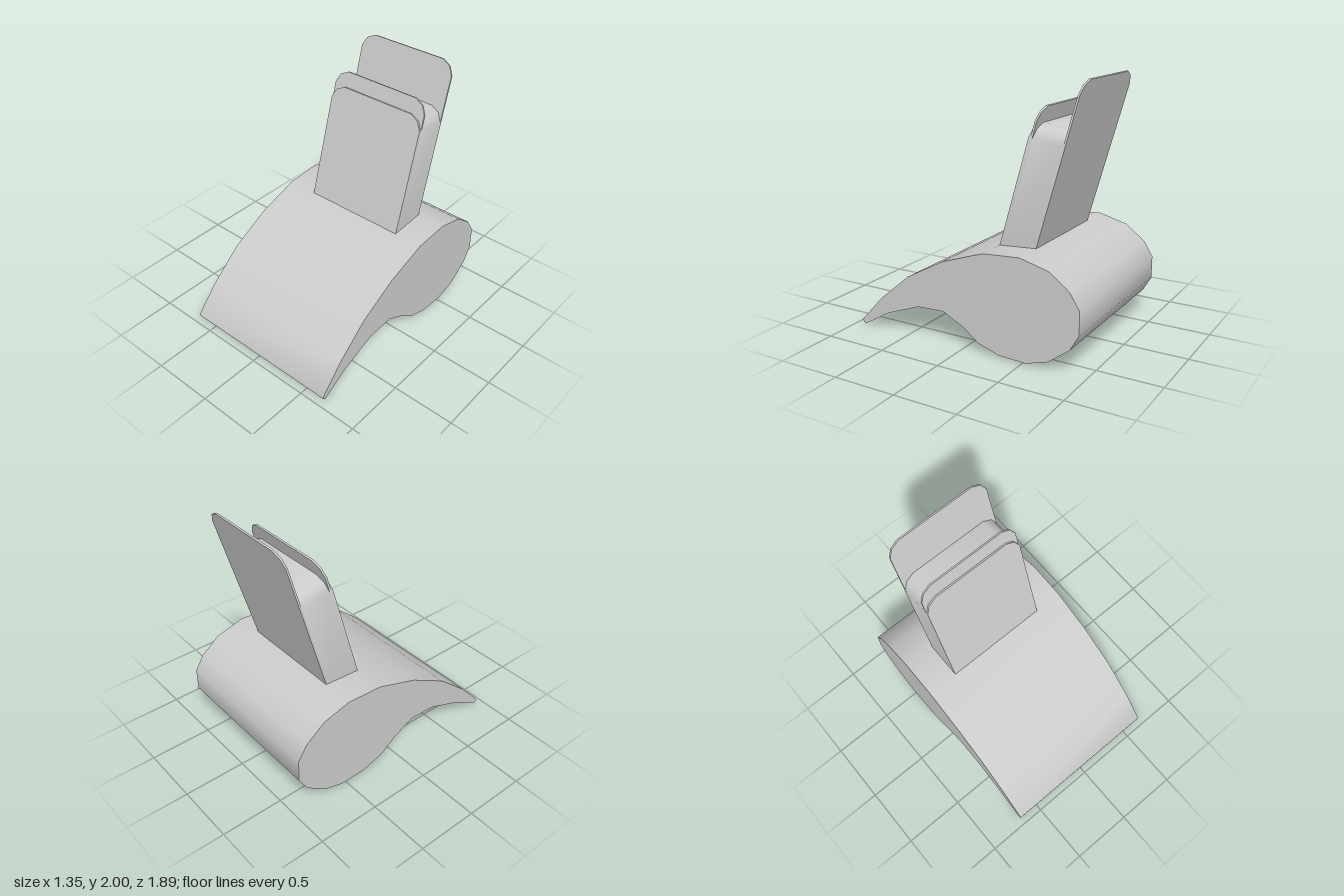
import * as THREE from 'three';
import { toCreasedNormals } from 'three/addons/utils/BufferGeometryUtils.js';

const material = new THREE.MeshStandardMaterial({ color: 0xcccccc });
const CREASE = 0.75;

function addPart(parent, name, geometry) {
  const mesh = new THREE.Mesh(toCreasedNormals(geometry, CREASE), material);
  mesh.name = name;
  parent.add(mesh);
  return mesh;
}

// Upright panel with bevel-rounded top corners, occupying z from -back to -front
function panelGeometry(height, front, back) {
  const w = 0.43, r = 0.105, k = 0.036;
  const corner = [[w, height - r], [w - k, height - k], [w - r, height]];
  const points = [
    [-w, 0], [w, 0], ...corner,
    ...corner.map(([x, y]) => [-x, y]).reverse(),
  ].map(([x, y]) => new THREE.Vector2(x, y));
  const geometry = new THREE.ExtrudeGeometry(new THREE.Shape(points), {
    depth: back - front, bevelEnabled: false,
  });
  return geometry.translate(0, 0, -back);
}

export function createModel() {
  const model = new THREE.Group();

  // Curved base: side profile as [z, y], extruded across the width
  const profile = [
    [0.945, 0.04], [0.76, 0.245], [0.49, 0.475], [0.17, 0.65], [-0.18, 0.77],
    [-0.48, 0.79], [-0.71, 0.73], [-0.87, 0.61], [-0.945, 0.49], [-0.945, 0.31],
    [-0.875, 0.19], [-0.71, 0.065], [-0.53, 0.01], [-0.31, 0.02], [-0.135, 0.075],
    [-0.01, 0.17], [0.17, 0.26], [0.40, 0.25], [0.69, 0.14], [0.925, 0], [0.945, 0.02],
  ].map(([z, y]) => new THREE.Vector2(-z, y));
  const width = 1.35;
  const base = new THREE.ExtrudeGeometry(new THREE.Shape(profile), {
    depth: width, bevelEnabled: false,
  });
  base.translate(0, 0, -width / 2).rotateY(Math.PI / 2);
  addPart(model, 'curvedBase', base);

  // Backward-leaning stack of panels
  const stack = new THREE.Group();
  stack.name = 'uprightStack';
  stack.position.set(0.01, 0.77, -0.18);
  stack.rotation.x = -0.279;
  model.add(stack);

  const thin = 0.015, depth = 0.285;
  addPart(stack, 'frontPlate', panelGeometry(0.956, 0, thin));
  addPart(stack, 'middlePlate', panelGeometry(1.08, thin, 2 * thin));
  addPart(stack, 'backPlate', panelGeometry(1.361, depth - thin, depth));

  // Core block, its top rising slightly towards the back
  const core = panelGeometry(0.957, 2 * thin, depth - thin);
  const position = core.attributes.position;
  for (let i = 0; i < position.count; i++) {
    const y = position.getY(i);
    if (y > 0.5) position.setY(i, y + 0.15 * (-position.getZ(i) - 2 * thin));
  }
  addPart(stack, 'coreBlock', core);

  return model;
}
